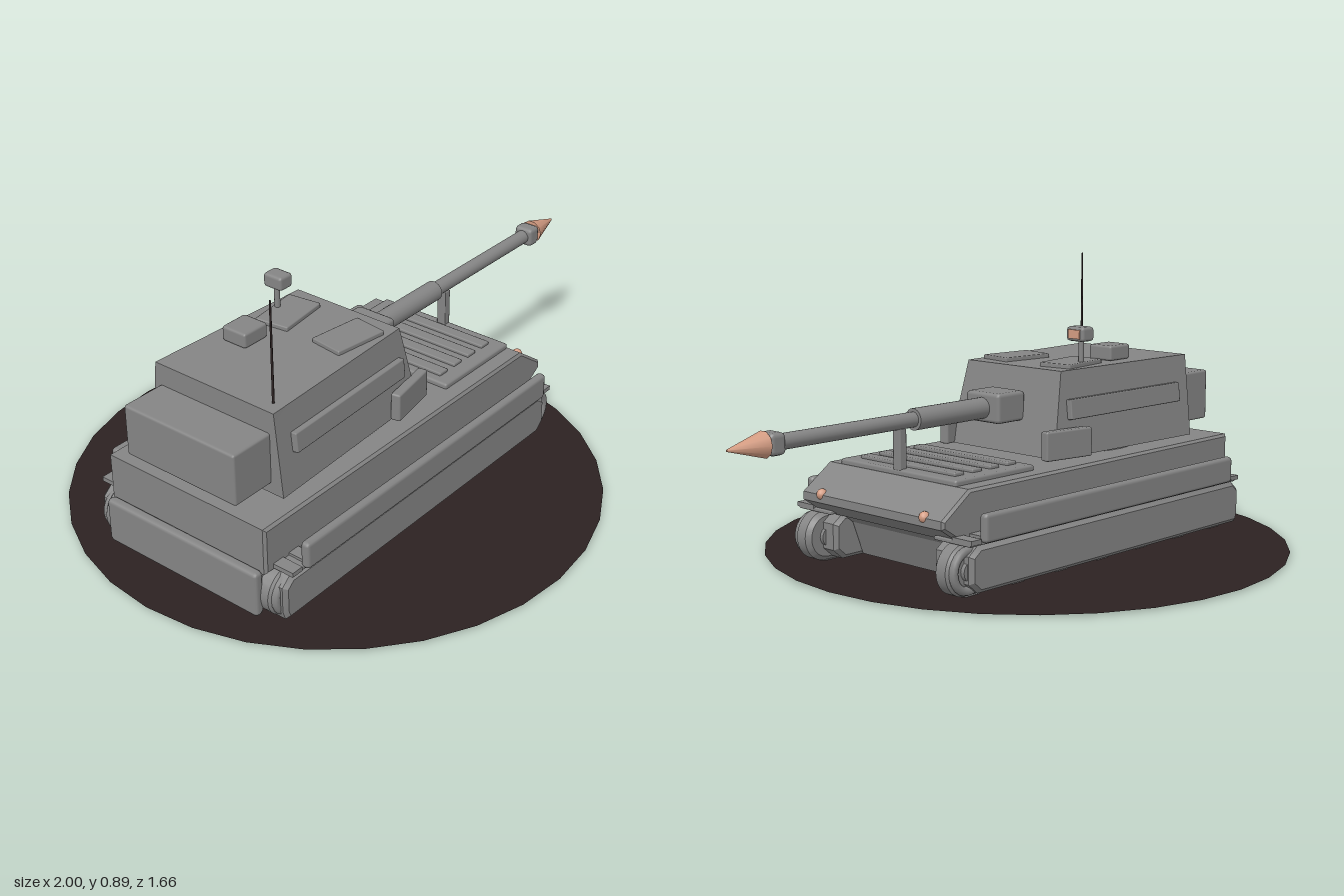
import * as THREE from 'three';
import { toCreasedNormals } from 'three/addons/utils/BufferGeometryUtils.js';
import { RoundedBoxGeometry } from 'three/addons/geometries/RoundedBoxGeometry.js';

export function createModel() {
  const mat = (name, color, opts = {}) => {
    const m = new THREE.MeshStandardMaterial({ color, ...opts });
    m.name = name;
    return m;
  };
  const armour = mat('armour grey', 0x858585);
  const copper = mat('copper', 0xd49c82);
  const dark = mat('ground dark', 0x2c2222, { side: THREE.DoubleSide });

  const root = new THREE.Group();
  root.name = 'trackedGun';

  const add = (name, geo, material = armour, parent = root) => {
    const m = new THREE.Mesh(geo, material);
    m.name = name;
    parent.add(m);
    return m;
  };
  // Box given by its extents, with a small rounded edge
  const box = (name, x0, x1, y0, y1, z0, z1, r = 0.006, material = armour, parent = root) => {
    const w = x1 - x0, h = y1 - y0, d = z1 - z0;
    const geo = r ? new RoundedBoxGeometry(w, h, d, 1, Math.min(r, w / 2.1, h / 2.1, d / 2.1))
      : new THREE.BoxGeometry(w, h, d);
    const m = add(name, geo, material, parent);
    m.position.set((x0 + x1) / 2, (y0 + y1) / 2, (z0 + z1) / 2);
    return m;
  };
  // Side profile (x, y) extruded from z0 to z1
  const slab = (name, shape, z0, z1, bevel = 0.006, parent = root) => {
    const geo = new THREE.ExtrudeGeometry(shape, {
      depth: z1 - z0 - 2 * bevel, bevelEnabled: bevel > 0, bevelSize: bevel, bevelThickness: bevel,
      bevelOffset: -bevel, bevelSegments: 1, curveSegments: 12,
    });
    geo.translate(0, 0, z0 + bevel);
    return add(name, toCreasedNormals(geo, 0.5), armour, parent);
  };
  const poly = (pts) => new THREE.Shape(pts.map(([x, y]) => new THREE.Vector2(x, y)));
  const stadium = (x0, x1, y0, y1) => {
    const r = (y1 - y0) / 2, cy = (y0 + y1) / 2, s = new THREE.Shape();
    s.absarc(x1 - r, cy, r, -Math.PI / 2, Math.PI / 2, false);
    s.absarc(x0 + r, cy, r, Math.PI / 2, Math.PI * 1.5, false);
    s.closePath();
    return s;
  };

  // Ground disc
  const disc = add('groundDisc', new THREE.CircleGeometry(0.828, 32), dark);
  disc.rotation.x = -Math.PI / 2;
  disc.position.set(-0.173, 0.006, 0);

  // Hull
  slab('upperHull', poly([[-0.83, 0.155], [0.42, 0.155], [0.497, 0.205], [0.497, 0.23],
    [0.39, 0.305], [-0.83, 0.305]]), -0.3, 0.3, 0.008);
  slab('lowerHull', poly([[-0.83, 0.025], [0.34, 0.025], [0.38, 0.13], [0.46, 0.19], [-0.83, 0.19]]),
    -0.208, 0.208, 0.004);
  box('rearFlap', -0.862, -0.83, 0.025, 0.17, -0.29, 0.29, 0.012);

  // Running gear, one set on each side
  for (const side of [1, -1]) {
    const gear = new THREE.Group();
    gear.name = side > 0 ? 'leftRunningGear' : 'rightRunningGear';
    root.add(gear);
    const zBox = (name, x0, x1, y0, y1, a, b, r) =>
      box(name, x0, x1, y0, y1, Math.min(a * side, b * side), Math.max(a * side, b * side), r, armour, gear);
    const zSlab = (name, shape, a, b, bevel) =>
      slab(name, shape, Math.min(a * side, b * side), Math.max(a * side, b * side), bevel, gear);

    zSlab('trackBelt', stadium(-0.845, 0.505, 0.008, 0.162), 0.265, 0.33, 0.014);
    zSlab('trackGuard', poly([[-0.81, 0.02], [0.41, 0.02], [0.445, 0.05], [0.445, 0.13], [0.41, 0.156],
      [-0.79, 0.156], [-0.82, 0.13], [-0.82, 0.05]]), 0.208, 0.36, 0.012);
    zBox('fender', -0.79, 0.455, 0.16, 0.172, 0.22, 0.365, 0.004);
    for (let i = 0; i < 20; i++) {
      const x = -0.8 + i * 0.064;
      zBox('fenderRib', x, x + 0.04, 0.166, 0.18, 0.295, i === 0 || i === 19 ? 0.37 : 0.352, 0);
    }
    zBox('sideSkirt', -0.75, 0.41, 0.165, 0.25, 0.353, 0.383, 0.012);
    // End wheels with hub rings
    for (const x of [-0.768, 0.428]) {
      const rim = add('endWheelRim', new THREE.TorusGeometry(0.058, 0.014, 8, 24), armour, gear);
      rim.position.set(x, 0.085, side * 0.328);
      const hub = add('endWheelHub', new THREE.CylinderGeometry(0.03, 0.03, 0.09, 16), armour, gear);
      hub.rotation.x = Math.PI / 2;
      hub.position.set(x, 0.085, side * 0.298);
    }
    // Road wheels
    for (let i = 0; i < 7; i++) {
      const wheel = add('roadWheel', new THREE.CylinderGeometry(0.06, 0.06, 0.04, 24), armour, gear);
      wheel.rotation.x = Math.PI / 2;
      wheel.position.set(-0.74 + i * 0.19, 0.06, side * 0.298);
    }
  }

  // Engine deck with slats
  box('engineDeck', 0.06, 0.39, 0.3, 0.322, -0.245, 0.245, 0.008);
  for (let i = 0; i < 4; i++) {
    const x = 0.09 + i * 0.073;
    box('deckSlat', x, x + 0.04, 0.32, 0.332, -0.2, 0.2, 0.004);
  }

  // Headlights
  for (const z of [0.218, -0.218]) {
    add('headlight', new THREE.SphereGeometry(0.017, 12, 8), copper).position.set(0.488, 0.23, z);
  }

  // Turret body: a box narrowed towards the roof and the front
  const body = new THREE.BoxGeometry(1, 1, 1);
  const p = body.attributes.position;
  for (let i = 0; i < p.count; i++) {
    const top = p.getY(i) > 0, front = p.getX(i) > 0, s = Math.sign(p.getZ(i));
    const half = top ? (front ? 0.195 : 0.222) : (front ? 0.222 : 0.25);
    p.setXYZ(i, front ? (top ? -0.112 : -0.055) : -0.695, top ? 0.577 : 0.315, s * half);
  }
  body.computeVertexNormals();
  add('turretBody', body);
  const ring = add('turretRing', new THREE.CylinderGeometry(0.21, 0.21, 0.03, 32));
  ring.position.set(-0.38, 0.31, 0);
  box('turretBustle', -0.84, -0.69, 0.347, 0.51, -0.207, 0.207, 0.008);

  for (const side of [1, -1]) {
    // Side stowage panel, leaning with the turret wall
    const panel = box('sidePanel', -0.635, -0.125, 0.43, 0.492, -0.012, 0.012, 0.004);
    panel.position.z = side * 0.227;
    panel.rotation.set(side * -0.1, side * 0.045, 0);
    // Cheek box at the front corner
    const cheek = box('cheekBox', -0.192, -0.015, 0.315, 0.405, -0.016, 0.016, 0.006);
    cheek.position.z = side * 0.228;
    cheek.rotation.y = side * 0.17;
    // Roof hatch
    const hatch = box('roofHatch', -0.34, -0.16, 0.572, 0.59, -0.057, 0.057, 0.004);
    hatch.position.z = side * 0.115;
    hatch.rotation.y = side * -0.13;
  }

  // Gun along +x
  box('mantlet', -0.09, 0.03, 0.415, 0.508, -0.07, 0.07, 0.012);
  const tube = (name, x0, x1, r0, r1, sides, material = armour) => {
    const m = add(name, new THREE.CylinderGeometry(r1, r0, x1 - x0, sides), material);
    m.rotation.z = -Math.PI / 2;
    m.position.set((x0 + x1) / 2, 0.46, 0);
  };
  tube('barrelSleeve', 0.02, 0.32, 0.033, 0.033, 20);
  tube('barrel', 0.31, 0.83, 0.023, 0.023, 20);
  box('muzzleBrake', 0.822, 0.876, 0.428, 0.492, -0.034, 0.034, 0.014);
  tube('muzzleCone', 0.876, 1, 0.039, 0.003, 10, copper);

  // Barrel rest
  box('barrelRestPost', 0.362, 0.388, 0.31, 0.44, -0.016, 0.016, 0.003);

  // Roof sight, sensor box and antenna
  box('sensorBox', -0.487, -0.39, 0.577, 0.625, -0.16, -0.07, 0.008);
  const mast = add('sightMast', new THREE.CylinderGeometry(0.009, 0.009, 0.09, 10));
  mast.position.set(-0.25, 0.62, -0.157);
  box('sightHead', -0.272, -0.217, 0.655, 0.7, -0.192, -0.122, 0.01);
  box('sightLens', -0.219, -0.213, 0.664, 0.692, -0.18, -0.134, 0, copper);
  const antenna = add('antenna', new THREE.CylinderGeometry(0.003, 0.004, 0.32, 6), dark);
  antenna.position.set(-0.652, 0.73, 0.184);

  return root;
}
